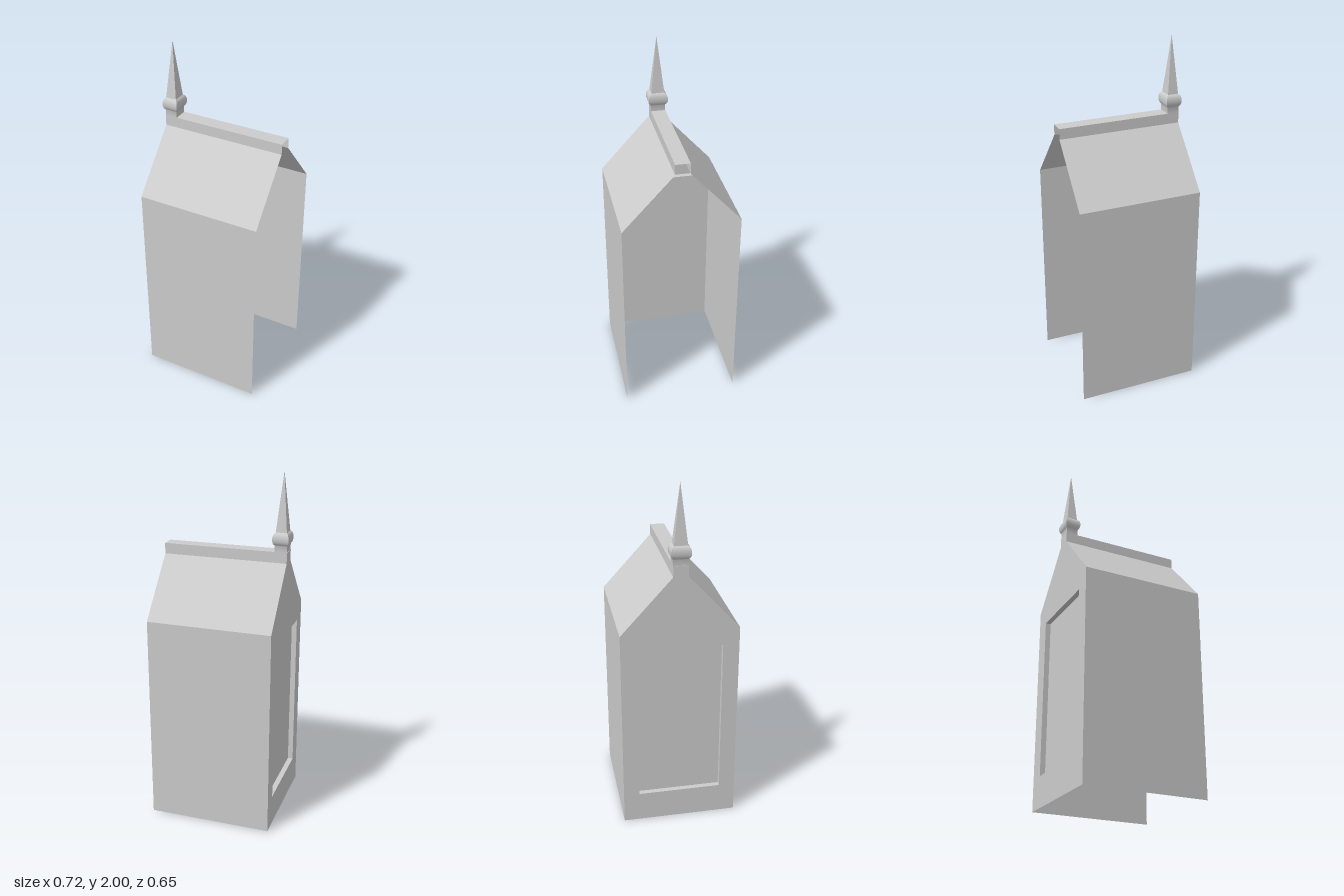
import * as THREE from 'three';
import { toCreasedNormals } from 'three/addons/utils/BufferGeometryUtils.js';

const X0 = -0.35, X1 = 0.357; // closed end, open end
const material = new THREE.MeshStandardMaterial({ color: 0xcccccc, side: THREE.DoubleSide });

// Sweeps a [z, y] profile along x as flat, open strips.
function sweep(profile, x0, x1) {
  const positions = [];
  for (let i = 0; i < profile.length - 1; i++) {
    const [za, ya] = profile[i], [zb, yb] = profile[i + 1];
    positions.push(x0, ya, za, x1, ya, za, x1, yb, zb);
    positions.push(x0, ya, za, x1, yb, zb, x0, yb, zb);
  }
  const geometry = new THREE.BufferGeometry();
  geometry.setAttribute('position', new THREE.Float32BufferAttribute(positions, 3));
  geometry.computeVertexNormals();
  return geometry;
}

export function createModel() {
  const group = new THREE.Group();
  const add = (name, geometry) => {
    const mesh = new THREE.Mesh(geometry, material);
    mesh.name = name;
    group.add(mesh);
    return mesh;
  };

  // Side walls, roof slopes and raised ridge, open below and at +x
  const half = [[0.327, 0], [0.327, 1.195], [0.041, 1.51], [0.041, 1.57]];
  const outline = [...half, ...half.map(([z, y]) => [-z, y]).reverse()];
  add('wallsAndRoof', sweep(outline, X0, X1));

  // Gable end with a rectangular opening
  const panel = [[0.236, 0.177], [-0.236, 0.177], [-0.236, 1.098], [0.236, 1.098]];
  const toVectors = (points) => points.map(([z, y]) => new THREE.Vector2(z, y));
  const gable = new THREE.Shape(toVectors(outline));
  gable.holes.push(new THREE.Path(toVectors(panel)));
  add('gableWall', new THREE.ShapeGeometry(gable).rotateY(-Math.PI / 2).translate(X0, 0, 0));

  // Recessed panel and its reveals
  const depth = 0.03;
  add('panelReveal', sweep([...panel, panel[0]], X0, X0 + depth));
  add('recessedPanel', new THREE.ShapeGeometry(new THREE.Shape(toVectors(panel)))
    .rotateY(-Math.PI / 2).translate(X0 + depth, 0, 0));

  // Four-sided finial: plinth, rounded collar and spike
  const profile = [[0.041, 1.57], [0.041, 1.605]];
  for (let i = 0; i <= 8; i++) {
    const a = -Math.PI / 2 + 0.3 + (i / 8) * (Math.PI - 0.6);
    profile.push([0.036 + 0.019 * Math.cos(a), 1.64 + 0.035 * Math.sin(a)]);
  }
  profile.push([0.037, 1.677], [0, 2]);
  const points = profile.map(([r, y]) => new THREE.Vector2(r * Math.SQRT2, y));
  const finial = new THREE.LatheGeometry(points, 4, Math.PI / 4);
  finial.scale(0.83, 1, 1);
  add('finial', toCreasedNormals(finial, 0.6)).position.x = -0.315;

  return group;
}
